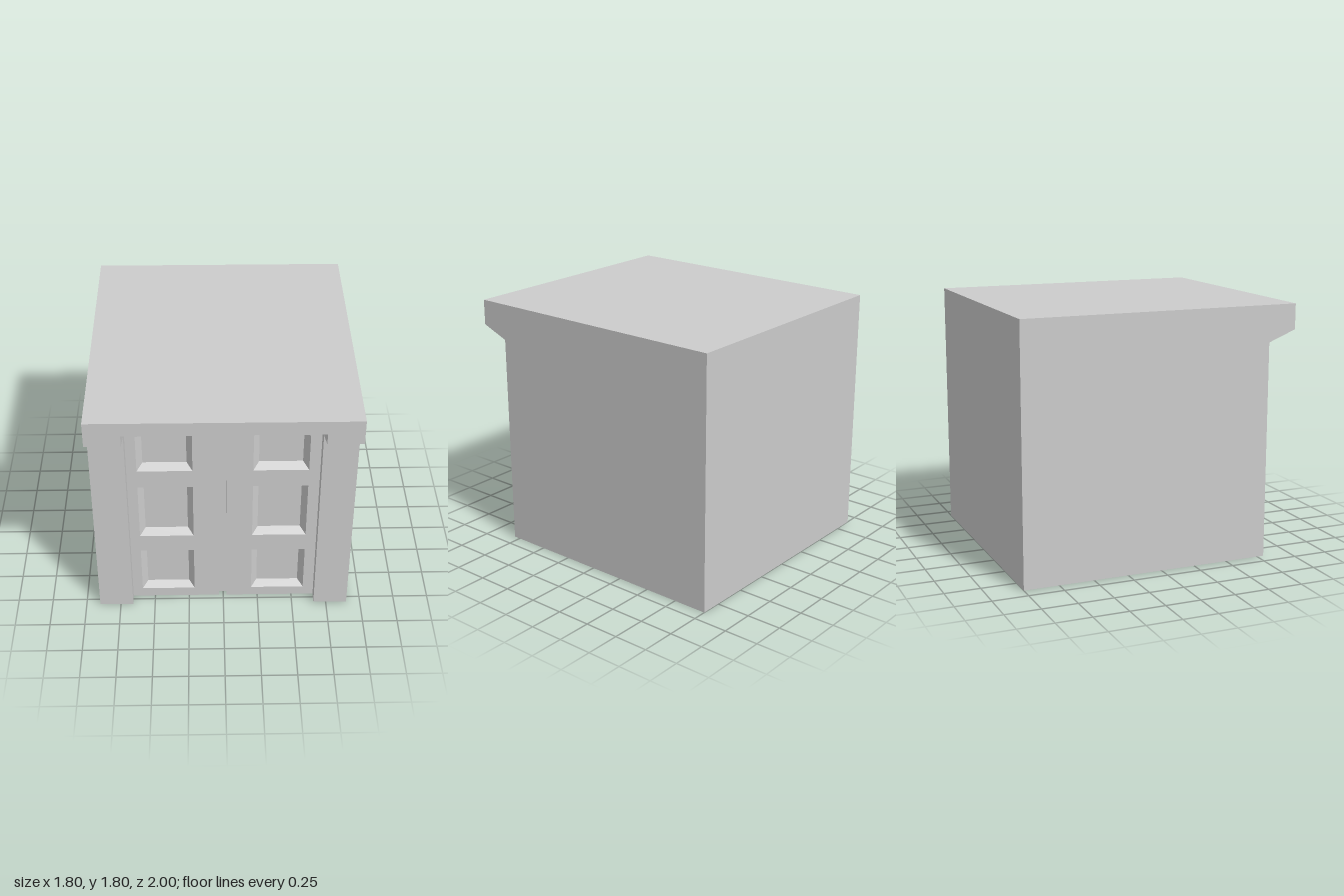
import * as THREE from 'three';
import { mergeGeometries } from 'three/addons/utils/BufferGeometryUtils.js';

const W = 0.9, H = 1.8, BACK = -1, WALL = 0.8, EAVE = 1;   // outer shell
const OPEN = 0.66, OPEN_H = 1.7, DOOR = 0.715;             // doorway and door plane
const MID = -0.003, GAP = 0.027, GAP_Z = 0.68, GAP_H = 1.625;
const PANEL_Z = DOOR - 0.05;

// Flat polygon (fan from its first corner) wound to face the direction "out"
function face(points, out) {
  const p = points.map(a => new THREE.Vector3(...a));
  const n = p[1].clone().sub(p[0]).cross(p[2].clone().sub(p[0]));
  if (n.dot(new THREE.Vector3(...out)) < 0) p.reverse().unshift(p.pop());
  const tris = [];
  for (let i = 1; i < p.length - 1; i++) tris.push(p[0], p[i], p[i + 1]);
  const g = new THREE.BufferGeometry().setFromPoints(tris);
  g.computeVertexNormals();
  return g;
}

// Axis-aligned rectangles
const front = (x0, x1, y0, y1, z, d = 1) =>
  face([[x0, y0, z], [x1, y0, z], [x1, y1, z], [x0, y1, z]], [0, 0, d]);
const level = (x0, x1, z0, z1, y, d) =>
  face([[x0, y, z0], [x1, y, z0], [x1, y, z1], [x0, y, z1]], [0, d, 0]);

export function createModel() {
  const group = new THREE.Group();
  const material = new THREE.MeshStandardMaterial({ color: 0xcccccc, flatShading: true });
  const add = (name, geometries) => {
    const mesh = new THREE.Mesh(mergeGeometries(geometries), material);
    mesh.name = name;
    group.add(mesh);
  };

  // Block-shaped body: roof, back and underside
  add('body', [
    level(-W, W, BACK, EAVE, H, 1),
    front(-W, W, 0, H, BACK, -1),
    level(-W, W, BACK, GAP_Z, 0, -1),
  ]);

  // Lintel over the doorway
  add('lintel', [
    front(-W, W, OPEN_H, H, EAVE),
    level(-OPEN, OPEN, DOOR, EAVE, OPEN_H, -1),
  ]);

  for (const s of [-1, 1]) {
    const side = s > 0 ? 'left' : 'right';

    // Side wall, pillar front, sloping eave bracket and door jamb
    const a = s * OPEN, b = s * W;
    const eave = x => [[x, 1.54, WALL], [x, 1.62, EAVE]];
    add(side + 'Pillar', [
      face([...eave(b), [b, H, EAVE], [b, H, BACK], [b, 0, BACK], [b, 0, WALL]], [s, 0, 0]),
      face([...eave(a), [a, OPEN_H, EAVE], [a, OPEN_H, DOOR], [a, 0, DOOR], [a, 0, WALL]], [-s, 0, 0]),
      front(a, b, 0, 1.54, WALL),
      face([...eave(a), ...eave(b).reverse()], [0, -1, 1]),
      front(a, b, 1.62, OPEN_H, EAVE),
      level(a, b, GAP_Z, WALL, 0, -1),
    ]);

    // Door leaf with three bevelled, sunken panels
    const g = MID + s * GAP;
    const leaf = new THREE.Shape([[g, 0], [a, 0], [a, OPEN_H], [g, OPEN_H]]
      .map(c => new THREE.Vector2(...c)));
    const parts = [];
    // bottom, outer-side top, inner-side top, then the same for the sunken field
    const panels = [
      [0.075, 0.45, 0.45, 0.11, 0.41, 0.41],
      [0.59, 1.04, 1.04, 0.63, 1.0, 1.0],
      [1.18, 1.475, 1.54, 1.22, 1.445, 1.5],
    ];
    for (const [y0, yo, yi, v0, vo, vi] of panels) {
      const ring = (xi, xo, bottom, topO, topI, z) => [
        [MID + s * xi, bottom, z], [MID + s * xo, bottom, z],
        [MID + s * xo, topO, z], [MID + s * xi, topI, z]];
      const rim = ring(0.207, 0.587, y0, yo, yi, DOOR);
      const field = ring(0.247, 0.547, v0, vo, vi, PANEL_Z);
      leaf.holes.push(new THREE.Path(rim.map(c => new THREE.Vector2(c[0], c[1]))));
      parts.push(face(field, [0, 0, 1]));
      for (let i = 0; i < 4; i++) {
        const j = (i + 1) % 4;
        parts.push(face([rim[i], rim[j], field[j], field[i]], [0, 0, 1]));
      }
    }
    const sheet = new THREE.ShapeGeometry(leaf).toNonIndexed().translate(0, 0, DOOR);
    sheet.deleteAttribute('uv');
    parts.push(sheet, level(g, a, GAP_Z, DOOR, 0, -1));
    // Edge of the leaf along the centre gap
    parts.push(face([[g, 0, GAP_Z], [g, 0, DOOR], [g, GAP_H, DOOR], [g, GAP_H, GAP_Z]], [-s, 0, 0]));
    add(side + 'Door', parts);
  }

  // Bottom of the groove between the leaves
  add('centreGroove', [front(MID - GAP, MID + GAP, 0, GAP_H, GAP_Z)]);

  // Latch block at the head of the doors
  const latch = new THREE.Mesh(new THREE.BoxGeometry(0.266, OPEN_H - GAP_H, 0.07), material);
  latch.name = 'latchBlock';
  latch.position.set(MID, (OPEN_H + GAP_H) / 2, 0.715);
  group.add(latch);

  return group;
}
